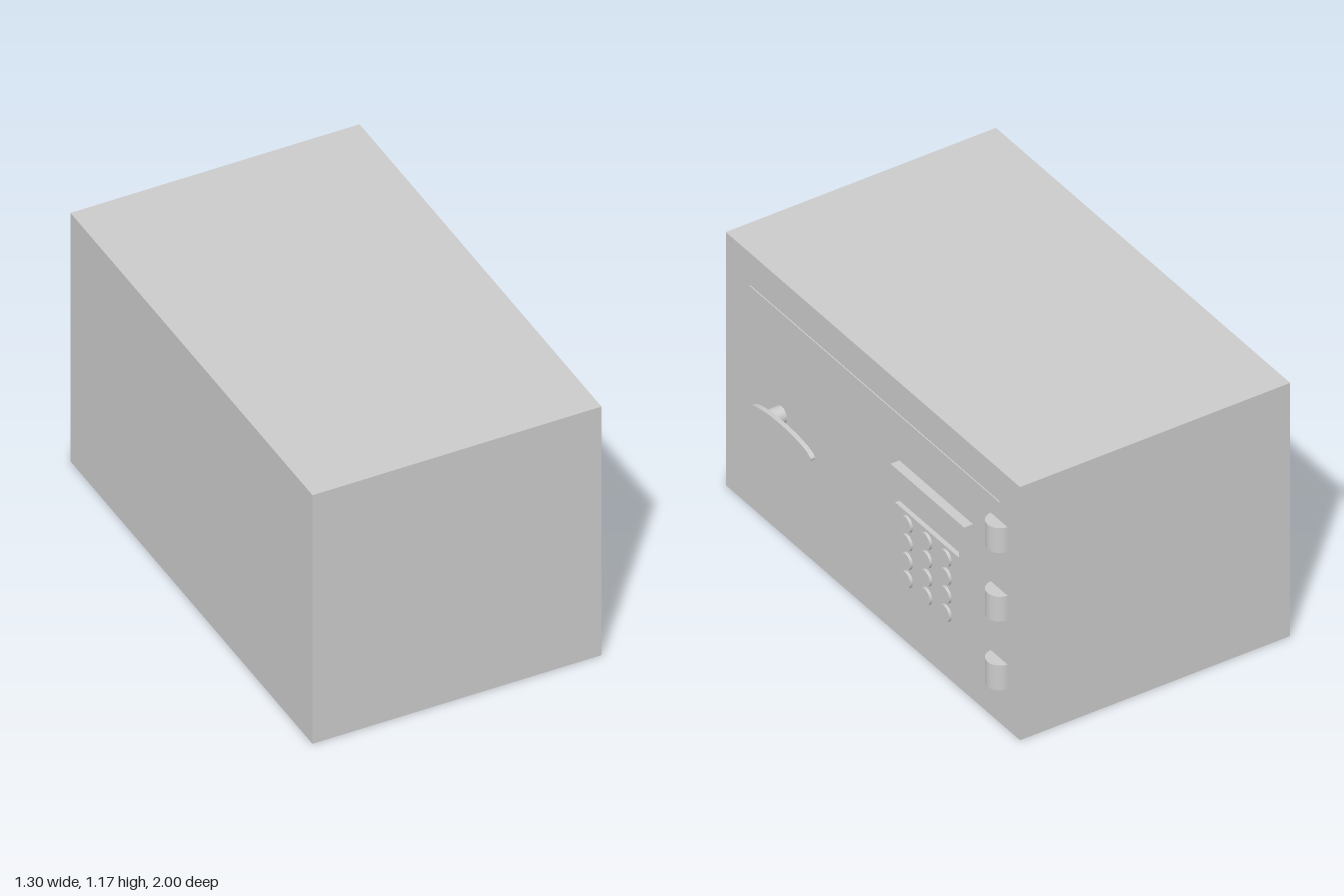
import * as THREE from 'three';

const mat = new THREE.MeshStandardMaterial({ color: 0xcccccc });
const FACE = 0.575; // x of the door face

function add(parent, name, geo, x = 0, y = 0, z = 0) {
  const mesh = new THREE.Mesh(geo, mat);
  mesh.name = name;
  mesh.position.set(x, y, z);
  parent.add(mesh);
  return mesh;
}

// Rectangle path in door coordinates: u runs toward -z, v runs up
function rect(Type, u0, u1, v0, v1) {
  return new Type([[u0, v0], [u1, v0], [u1, v1], [u0, v1]].map(([u, v]) => new THREE.Vector2(u, v)));
}

// Extrude a door-plane shape outward along +x
function plate(shape, depth, curveSegments = 32) {
  return new THREE.ExtrudeGeometry(shape, { depth, bevelEnabled: false, curveSegments }).rotateY(Math.PI / 2);
}

export function createModel() {
  const safe = new THREE.Group();
  safe.name = 'safe';

  // Cabinet, with a door skin that carries a thin horizontal slot
  const skin = 0.012;
  const inner = FACE - skin;
  add(safe, 'cabinet', new THREE.BoxGeometry(inner + 0.65, 1.17, 2), (inner - 0.65) / 2, 0.585, 0);
  const door = rect(THREE.Shape, -1, 1, 0, 1.17);
  door.holes.push(rect(THREE.Path, -0.84, 0.86, 1.017, 1.023));
  add(safe, 'doorFace', plate(door, skin), inner);

  // Keypad: backing plate and a front frame with the display recess
  const keypad = new THREE.Group();
  keypad.name = 'keypad';
  safe.add(keypad);
  add(keypad, 'keypadBase', plate(rect(THREE.Shape, 0.18, 0.68, 0.3, 0.81), 0.02), FACE);
  const frame = rect(THREE.Shape, 0.18, 0.68, 0.3, 0.81);
  frame.holes.push(rect(THREE.Path, 0.21, 0.645, 0.65, 0.78));
  add(keypad, 'keypadFrame', plate(frame, 0.02), FACE + 0.02);

  // Round keys, three columns by four rows
  const key = new THREE.CylinderGeometry(0.036, 0.036, 0.012, 32).rotateZ(-Math.PI / 2);
  for (let row = 0; row < 4; row++) {
    for (let col = 0; col < 3; col++) {
      add(keypad, 'key', key, 0.621, 0.602 - row * 0.085, -0.296 - col * 0.132);
    }
  }

  // Half-round hinge knuckles
  const knuckle = new THREE.Shape();
  knuckle.absarc(0, 0, 0.057, -Math.PI / 2, Math.PI / 2, false);
  const hinge = new THREE.ExtrudeGeometry(knuckle, { depth: 0.115, bevelEnabled: false, curveSegments: 24 })
    .rotateX(-Math.PI / 2);
  for (const y of [0.185, 0.503, 0.82]) add(safe, 'hinge', hinge, 0.571, y, -0.858);

  // Handle: short round stem and an elliptical grip
  const handle = new THREE.Group();
  handle.name = 'handle';
  safe.add(handle);
  const stem = new THREE.CylinderGeometry(0.036, 0.036, 0.058, 32).rotateZ(-Math.PI / 2);
  add(handle, 'handleStem', stem, 0.603, 0.553, 0.62);
  const grip = new THREE.Shape();
  grip.absellipse(0, 0, 0.207, 0.043, 0, Math.PI * 2, false);
  add(handle, 'handleGrip', plate(grip, 0.02), 0.63, 0.553, 0.518);

  return safe;
}
